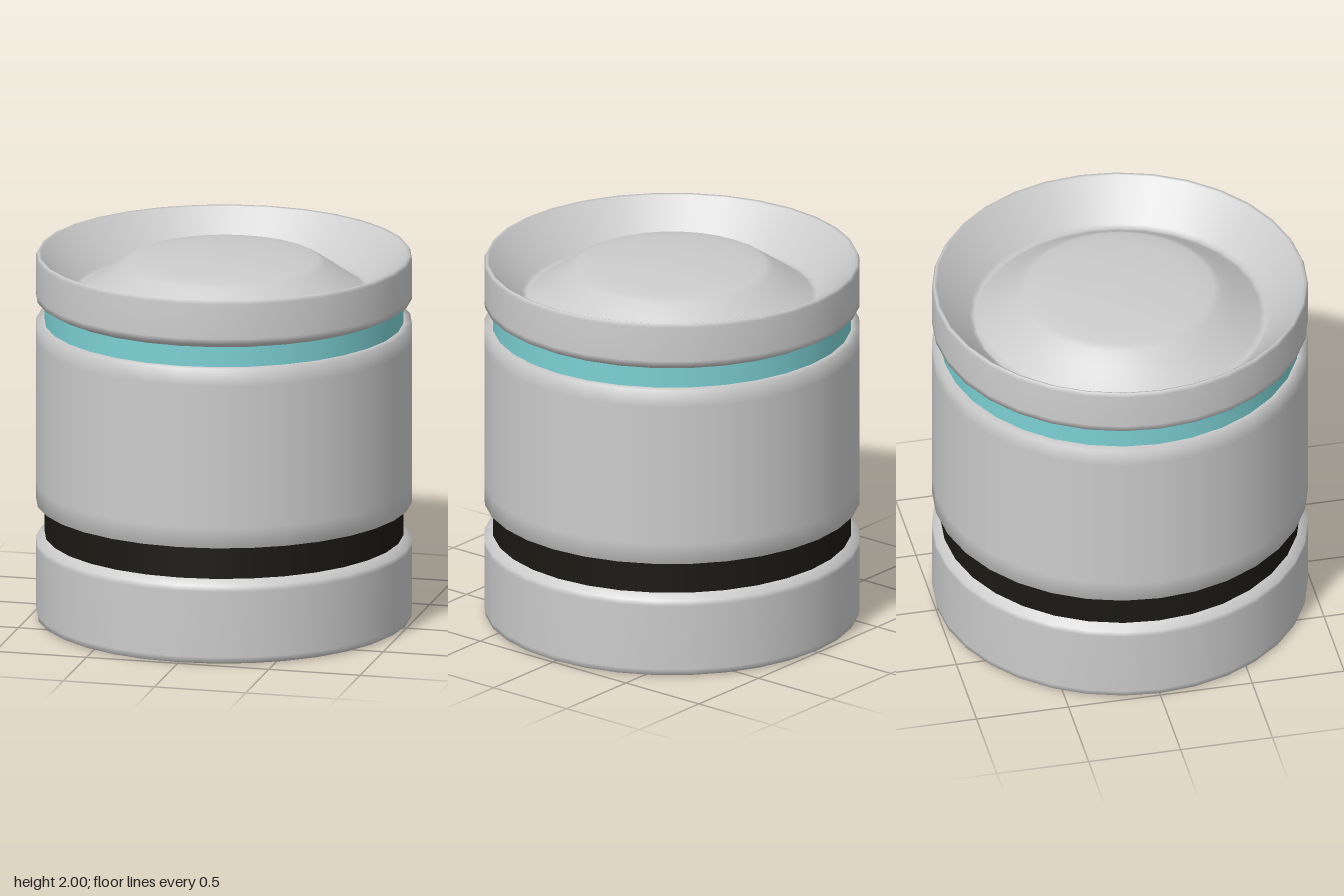
import * as THREE from 'three';

const SIDES = 32;
const GROOVE = 0.955; // radius of the recessed bands

export function createModel() {
  const group = new THREE.Group();

  // Revolve a [radius, height] profile, listed from bottom to top of the outside
  const turn = (name, profile, color = 0xcccccc) => {
    const points = profile.map(([r, y]) => new THREE.Vector2(r, y));
    const mesh = new THREE.Mesh(
      new THREE.LatheGeometry(points, SIDES),
      new THREE.MeshStandardMaterial({ color })
    );
    mesh.name = name;
    group.add(mesh);
  };

  // Bottom drum with a closed underside and a chamfered upper edge
  turn('base', [
    [0, 0], [0.975, 0], [0.995, 0.01], [1, 0.04],
    [1, 0.40], [1, 0.43], [GROOVE, 0.46],
  ]);

  // Dark recessed band
  turn('lowerBand', [[GROOVE, 0.455], [GROOVE, 0.645]], 0x1a1914);

  // Tall middle drum; rings near both ends soften the shading there
  turn('body', [
    [GROOVE, 0.64], [1, 0.64], [1, 0.75], [1, 1.53], [1, 1.625], [GROOVE, 1.625],
  ]);

  // Coloured recessed band
  turn('upperBand', [[GROOVE, 1.62], [GROOVE, 1.74]], 0x7cd0d4);

  // Top drum: chamfered lower edge, thin rim, sloping dish and raised dome
  const dome = [0.5, 0.4, 0.3, 0.2, 0.1, 0].map((r) => [r, 1.995 - 0.12 * r * r]);
  turn('cap', [
    [GROOVE, 1.735], [1, 1.76], [1, 1.79], [1, 1.98], [0.99, 2], [0.975, 1.995],
    [0.8, 1.8], [0.775, 1.79], [0.745, 1.8], [0.62, 1.89], [0.54, 1.945],
    ...dome,
  ]);

  return group;
}
